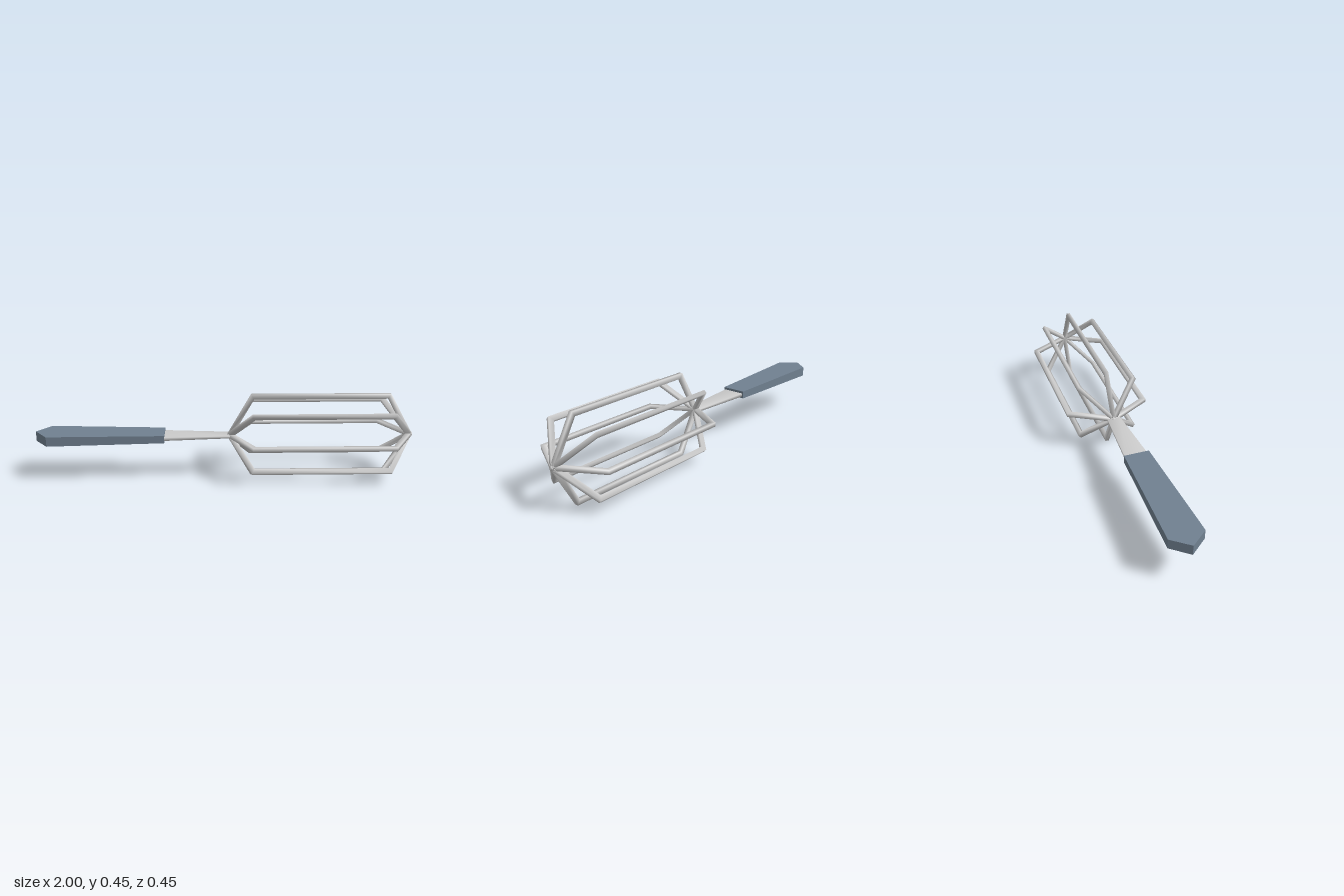
import * as THREE from 'three';

const AXIS_Y = 0.226;

// Skins a list of equally sized corner loops; shared corners give smooth normals.
function loft(loops, ring) {
  const n = loops[0].length, count = loops.length;
  const pos = loops.flat(2), idx = [];
  for (let i = 0; i < (ring ? count : count - 1); i++) {
    const a = i * n, b = ((i + 1) % count) * n;
    for (let j = 0; j < n; j++) {
      const k = (j + 1) % n;
      idx.push(a + j, b + j, a + k, a + k, b + j, b + k);
    }
  }
  if (!ring) {
    const e = (count - 1) * n;
    for (let j = 1; j < n - 1; j++) idx.push(0, j, j + 1, e, e + j + 1, e + j);
  }
  const g = new THREE.BufferGeometry();
  g.setAttribute('position', new THREE.Float32BufferAttribute(pos, 3));
  g.setIndex(idx);
  g.computeVertexNormals();
  return g;
}

// Rectangular cross-section at x, half height h, half depth d
const rect = (x, h, d) => [[x, -h, -d], [x, -h, d], [x, h, d], [x, h, -d]];

// Closed hexagonal wire hoop in the xy plane with mitred corners
function hoopGeometry(halfThick, halfWide) {
  const path = [[0.025, 0], [0.145, 0.213], [0.863, 0.213], [0.985, 0], [0.863, -0.213], [0.145, -0.213]]
    .map(p => new THREE.Vector2(...p));
  const loops = path.map((p, i) => {
    const before = p.clone().sub(path[(i + 5) % 6]).normalize();
    const after = path[(i + 1) % 6].clone().sub(p).normalize();
    const n1 = new THREE.Vector2(-before.y, before.x);
    const n2 = new THREE.Vector2(-after.y, after.x);
    const m = n1.clone().add(n2).normalize();
    m.multiplyScalar(halfThick / m.dot(n1));
    const o = p.clone().add(m), q = p.clone().sub(m);
    return [[q.x, q.y, -halfWide], [q.x, q.y, halfWide], [o.x, o.y, halfWide], [o.x, o.y, -halfWide]];
  });
  return loft(loops, true);
}

export function createModel() {
  const model = new THREE.Group();
  model.name = 'whisk';
  const metal = new THREE.MeshStandardMaterial({ color: 0xcccccc });
  const grip = new THREE.MeshStandardMaterial({ color: 0x708090, flatShading: true });

  const add = (name, geometry, material, parent = model) => {
    const mesh = new THREE.Mesh(geometry, material);
    mesh.name = name;
    parent.add(mesh);
    return mesh;
  };

  // Handle: tapered block with a pointed butt end
  const handle = add('handle', loft([
    rect(-1, 0.027, 0.0005),
    rect(-0.93, 0.026, 0.088),
    rect(-0.32, 0.02, 0.066),
  ]), grip);
  handle.position.y = AXIS_Y + 0.001;

  // Neck: thin flat shank between handle and wires
  const neck = add('neck', loft([rect(-0.34, 0.009, 0.06), rect(0.025, 0.006, 0.035)]), metal);
  neck.position.y = AXIS_Y;

  // Wire cage: four hoops turned about the long axis
  const cage = new THREE.Group();
  cage.name = 'wireCage';
  cage.position.y = AXIS_Y;
  model.add(cage);
  const hoop = hoopGeometry(0.0128, 0.01);
  for (let i = 0; i < 4; i++) {
    add('wireHoop' + (i + 1), hoop, metal, cage).rotation.x = i * Math.PI / 4;
  }
  return model;
}
